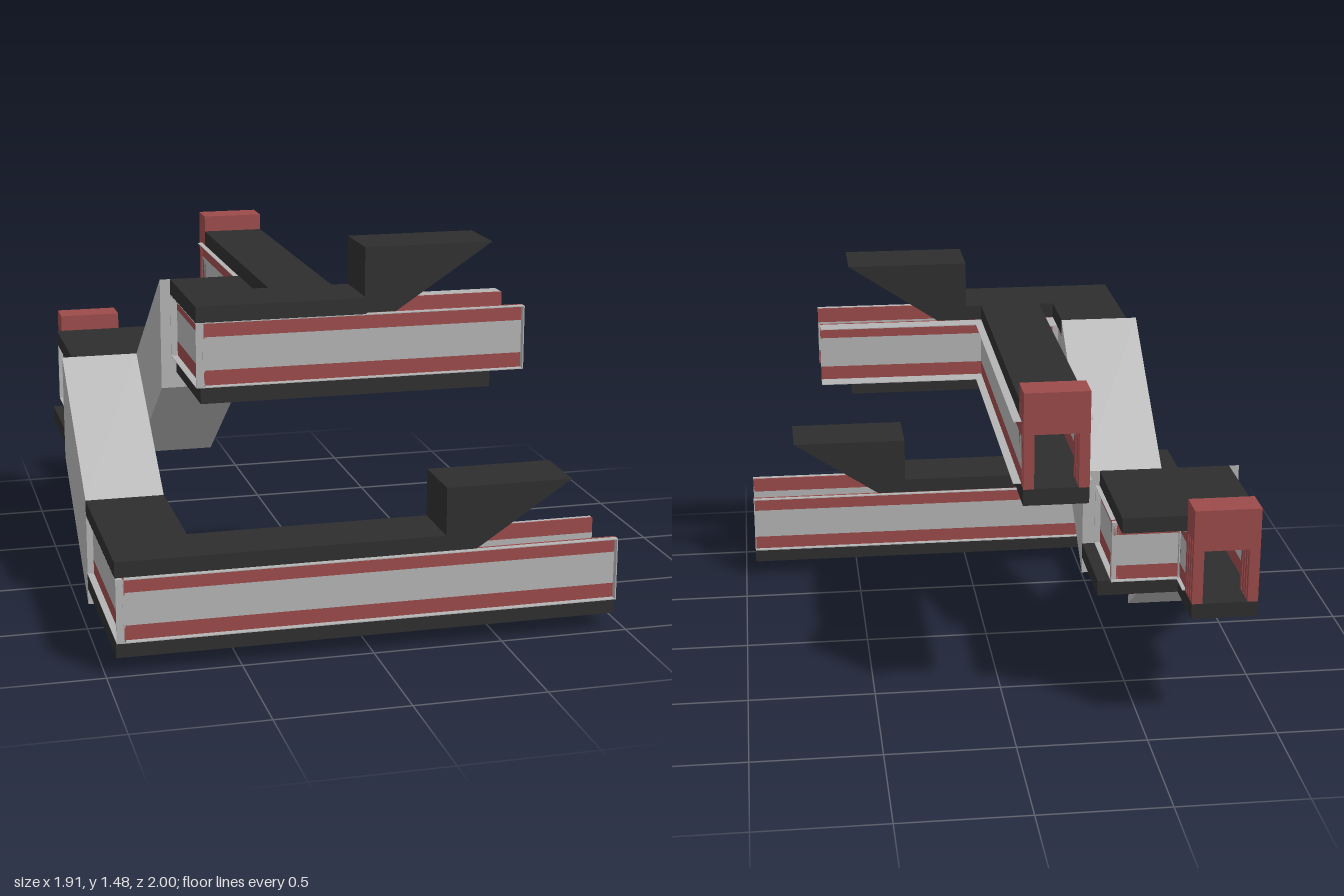
import * as THREE from 'three';

const material = (name, color) => {
  const m = new THREE.MeshStandardMaterial({ color, side: THREE.DoubleSide });
  m.name = name;
  return m;
};

export function createModel() {
  const model = new THREE.Group();
  model.name = 'corridorComplex';
  const dark = material('charcoal', 0x2e2e2e);
  const red = material('brickRed', 0x9c4a4a);
  const light = material('lightGrey', 0xb4b4b4);

  const add = (parent, name, geometry, mat) => {
    const mesh = new THREE.Mesh(geometry, mat);
    mesh.name = name;
    parent.add(mesh);
    return mesh;
  };

  // Box given by its two opposite corners
  const box = (parent, name, mat, x0, x1, y0, y1, z0, z1) => {
    const g = new THREE.BoxGeometry(Math.abs(x1 - x0), Math.abs(y1 - y0), Math.abs(z1 - z0));
    g.translate((x0 + x1) / 2, (y0 + y1) / 2, (z0 + z1) / 2);
    return add(parent, name, g, mat);
  };

  // Flat slab from a plan outline of [x, z] points
  const slab = (parent, name, outline, y0, y1) => {
    const shape = new THREE.Shape(outline.map(([x, z]) => new THREE.Vector2(x, -z)));
    const g = new THREE.ExtrudeGeometry(shape, { depth: y1 - y0, bevelEnabled: false });
    g.rotateX(-Math.PI / 2).translate(0, y0, 0);
    add(parent, name, g, dark);
  };

  const H = 0.245; // wall height
  const T = 0.008; // panel thickness
  const L = 0.004; // lip thickness

  // Striped wall panel along 'x' or 'z', at a fixed position, with lips reaching out by `out`
  const wall = (parent, y, axis, at, from, to, out, endLips = true) => {
    const group = new THREE.Group();
    group.name = 'wallPanel';
    parent.add(group);
    const inner = at - Math.sign(out) * T;
    const part = (name, mat, a, b, y0, y1, p, q) =>
      axis === 'x' ? box(group, name, mat, a, b, y + y0, y + y1, p, q)
        : box(group, name, mat, p, q, y + y0, y + y1, a, b);
    part('lowerStripe', red, from, to, 0, 0.06, inner, at);
    part('middleBand', light, from, to, 0.06, H - 0.06, inner, at);
    part('upperStripe', red, from, to, H - 0.06, H, inner, at);
    part('bottomLip', light, from, to, 0.001, L, at, at + out);
    part('topLip', light, from, to, H - L, H - 0.001, at, at + out);
    if (endLips) {
      part('startLip', light, from, from + L, L, H - L, inner, at + out);
      part('endLip', light, to - L, to, L, H - L, inner, at + out);
    }
  };

  // Doorway: four spaced arches below a solid header
  const doorway = (parent, x0, x1, y, zFront) => {
    const group = new THREE.Group();
    group.name = 'doorway';
    parent.add(group);
    const depth = 0.125, gap = 0.012, leg = 0.04;
    const t = (depth - 3 * gap) / 4;
    box(group, 'doorHeader', red, x0, x1, y + H, y + 0.37, zFront, zFront - depth);
    for (let i = 0; i < 4; i++) {
      const z = zFront - i * (t + gap);
      box(group, 'archLeg', red, x0, x0 + leg, y, y + H, z, z - t);
      box(group, 'archLeg', red, x1 - leg, x1, y, y + H, z, z - t);
      box(group, 'archLintel', red, x0 + leg, x1 - leg, y + H - 0.035, y + H, z, z - t);
    }
  };

  // Slanted canopy over an open corridor end
  const canopy = (parent, x, y, z0, z1) => {
    const shape = new THREE.Shape([[0, 0], [0.12, 0], [0.49, 0.245], [0, 0.245]]
      .map(([a, b]) => new THREE.Vector2(x + a, y + b)));
    const g = new THREE.ExtrudeGeometry(shape, { depth: z1 - z0, bevelEnabled: false });
    add(parent, 'entranceCanopy', g.translate(0, 0, z0), dark);
  };

  // Sloping closed passage between two levels, running along z
  const ramp = (name, x0, x1, yFront, yBack) => {
    const h = 0.43;
    const shape = new THREE.Shape([[0.235, yFront], [0.235, yFront + h], [-0.38, yBack + h], [-0.38, yBack]]
      .map(([z, y]) => new THREE.Vector2(z, y)));
    const g = new THREE.ExtrudeGeometry(shape, { depth: x1 - x0, bevelEnabled: false });
    g.rotateY(-Math.PI / 2).translate(x1, 0, 0);
    add(model, name, g, light);
  };

  const level = (name) => {
    const g = new THREE.Group();
    g.name = name;
    model.add(g);
    return g;
  };

  // Lower L-shaped corridor
  const lower = level('lowerCorridor');
  const lowerPlan = (end) => [[-0.96, 0.98], [end, 0.98], [end, 0.73], [-0.65, 0.73], [-0.65, 0.235], [-0.96, 0.235]];
  slab(lower, 'lowerFloor', lowerPlan(0.955), 0.07, 0.13);
  slab(lower, 'lowerRoof', lowerPlan(0.28), 0.375, 0.435);
  canopy(lower, 0.28, 0.375, 0.73, 0.98);
  wall(lower, 0.13, 'x', 0.975, -0.935, 0.955, 0.025);
  wall(lower, 0.13, 'z', -0.935, 0.235, 0.998, -0.025);
  wall(lower, 0.13, 'x', 0.73, -0.65, 0.955, -0.02);
  wall(lower, 0.13, 'z', -0.672, 0.235, 0.73, 0.022);

  // Middle landing
  const middle = level('middleLanding');
  box(middle, 'landingFloor', dark, -0.96, -0.34, 0.5, 0.56, -0.75, -0.38);
  box(middle, 'doorFloor', dark, -0.9, -0.65, 0.5, 0.56, -1, -0.75);
  box(middle, 'landingRoof', dark, -0.92, -0.405, 0.805, 0.865, -0.88, -0.38);
  wall(middle, 0.56, 'z', -0.41, -0.75, -0.38, 0.022);
  wall(middle, 0.56, 'x', -0.75, -0.65, -0.388, -0.02);
  wall(middle, 0.56, 'z', -0.655, -0.875, -0.75, 0.015, false);
  wall(middle, 0.56, 'z', -0.898, -0.875, -0.38, -0.02);
  doorway(middle, -0.9, -0.65, 0.56, -0.875);

  // Upper branching corridor
  const upper = level('upperCorridor');
  const upperPlan = (left, front, end, back) => [
    [left, front], [end, front], [end, 0.485], [-0.035, 0.485], [-0.035, back],
    [-0.28, back], [-0.28, 0.485], [-0.34, 0.485], [-0.34, 0.235], [left, 0.235]];
  slab(upper, 'upperFloor', upperPlan(-0.59, 0.73, 0.52, -0.875), 0.93, 0.995);
  slab(upper, 'upperRoof', upperPlan(-0.61, 0.755, 0.03, -0.755), 1.24, 1.3);
  canopy(upper, 0.03, 1.24, 0.485, 0.73);
  wall(upper, 0.995, 'x', 0.73, -0.585, 0.645, 0.025);
  wall(upper, 0.995, 'z', -0.585, 0.235, 0.753, -0.025);
  wall(upper, 0.995, 'x', 0.485, -0.035, 0.645, -0.07, false);
  wall(upper, 0.995, 'x', 0.485, -0.34, -0.28, -0.125, false);
  wall(upper, 0.995, 'z', -0.035, -0.82, 0.485, 0.03, false);
  wall(upper, 0.995, 'z', -0.28, -0.82, 0.485, -0.02, false);
  wall(upper, 0.995, 'z', -0.365, 0.235, 0.485, 0.025, false);
  doorway(upper, -0.28, -0.035, 0.995, -0.755);

  // Passages linking the levels
  ramp('lowerRamp', -0.96, -0.65, 0.005, 0.435);
  ramp('upperRamp', -0.65, -0.34, 0.87, 0.435);

  return model;
}
